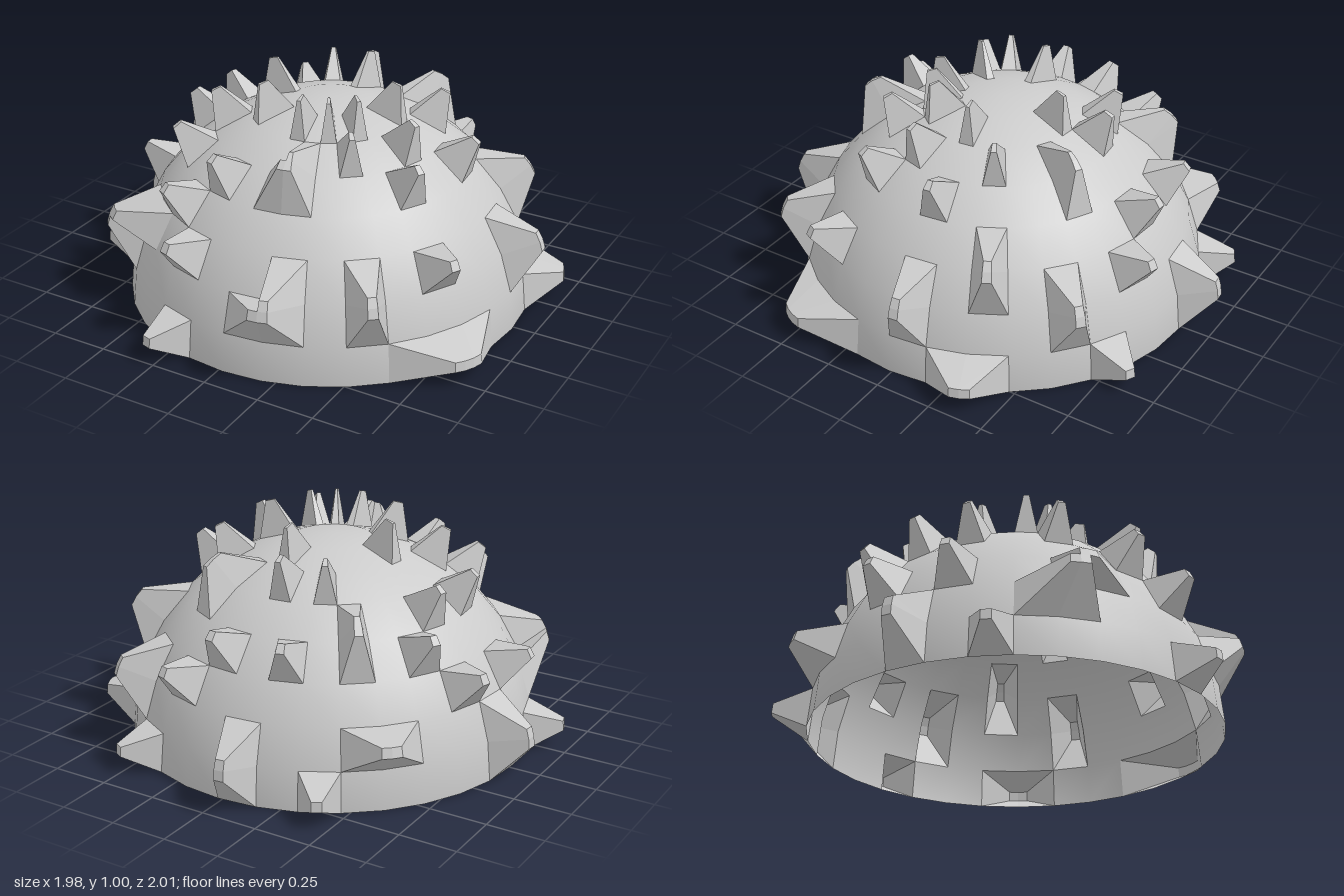
import * as THREE from 'three';

const SEGMENTS = 32, RINGS = 8, RADIUS = 0.882, TIP_RADIUS = 1.033, TIP_SCALE = 0.25;

// Small spikes: the segments that carry one, ring by ring from the rim to the crown
const SMALL = [
  [9, 14, 21, 26],
  [],
  [2, 9, 15, 17, 25],
  [10, 18, 22, 24],
  [2, 9, 12, 15, 17, 31],
  [1, 4, 13, 21, 23, 29],
  [3, 5, 7, 11, 16, 24, 31],
];

// Large spikes: blocks of [segment, ring, segments wide, rings tall]; two blocks make a stepped base
const WIDE = [[[29, 0, 2, 1]], [[1, 0, 3, 1]], [[19, 1, 2, 1]]];
const TALL = [[16, 0], [23, 0], [31, 1], [4, 1], [27, 1], [29, 2], [20, 3], [26, 4]]
  .map(([i, j]) => [[i, j, 1, 2]]);
const STEPPED = [
  [[6, 1, 2, 1], [6, 2, 1, 1]],
  [[12, 1, 2, 1], [11, 2, 2, 1]],
  [[6, 4, 2, 1], [6, 5, 1, 1]],
];

function cellsOf(blocks) {
  const cells = [];
  for (const [i, j, w, h] of blocks)
    for (let a = 0; a < w; a++) for (let b = 0; b < h; b++) cells.push([i + a, j + b]);
  return cells;
}

const SPIKES = [
  ...SMALL.flatMap((segments, j) => segments.map((i) => [[i, j]])),
  ...[...WIDE, ...TALL, ...STEPPED].map(cellsOf),
];

// Grid point on the dome
function domePoint([i, j]) {
  const a = (i / SEGMENTS) * Math.PI * 2, e = (j / RINGS) * Math.PI / 2;
  return new THREE.Vector3(Math.cos(a) * Math.cos(e), Math.sin(e), Math.sin(a) * Math.cos(e))
    .multiplyScalar(RADIUS);
}

const corners = (i, j) => [[i, j], [i, j + 1], [i + 1, j + 1], [i + 1, j]];

function quad(out, a, b, c, d) {
  for (const p of [a, b, c, a, c, d]) out.push(p.x, p.y, p.z);
}

function toGeometry(positions) {
  const g = new THREE.BufferGeometry();
  g.setAttribute('position', new THREE.Float32BufferAttribute(positions, 3));
  return g;
}

// Hollow spike: walls rise from the outline of the base to a small blunt tip
function spikeGeometry(cells) {
  const edges = new Map(), centre = new THREE.Vector3();
  for (const [i, j] of cells) {
    const ring = corners(i, j);
    ring.forEach((p, k) => {
      const q = ring[(k + 1) % 4];
      centre.addScaledVector(domePoint(p), 1 / (4 * cells.length));
      // an edge shared by two cells cancels out
      if (!edges.delete(`${q}>${p}`)) edges.set(`${p}>${q}`, [p, q]);
    });
  }
  const tipCentre = centre.clone().setLength(TIP_RADIUS);
  const tip = (p) => domePoint(p).sub(centre).multiplyScalar(TIP_SCALE).add(tipCentre);
  const out = [];
  for (const [p, q] of edges.values()) quad(out, domePoint(p), domePoint(q), tip(q), tip(p));
  for (const [i, j] of cells) quad(out, ...corners(i, j).map(tip));
  const g = toGeometry(out);
  g.computeVertexNormals();
  return g;
}

// Open dome shell with holes under the spikes
function domeGeometry() {
  const taken = new Set(SPIKES.flat().map(String));
  const out = [];
  for (let i = 0; i < SEGMENTS; i++)
    for (let j = 0; j < RINGS; j++)
      if (!taken.has(`${i},${j}`)) quad(out, ...corners(i, j).map(domePoint));
  const g = toGeometry(out);
  g.setAttribute('normal', new THREE.Float32BufferAttribute(out.map((v) => v / RADIUS), 3));
  return g;
}

export function createModel() {
  const model = new THREE.Group();
  model.name = 'spikedDome';
  const smooth = new THREE.MeshStandardMaterial({ color: 0xcccccc, side: THREE.DoubleSide });
  const flat = new THREE.MeshStandardMaterial({ color: 0xcccccc, side: THREE.DoubleSide, flatShading: true });

  const dome = new THREE.Mesh(domeGeometry(), smooth);
  dome.name = 'dome';

  const spikes = new THREE.Group();
  spikes.name = 'spikes';
  for (const cells of SPIKES) {
    const spike = new THREE.Mesh(spikeGeometry(cells), flat);
    spike.name = 'spike';
    spikes.add(spike);
  }

  model.add(dome, spikes);
  model.position.set(0.02, 0, 0.015);
  return model;
}
